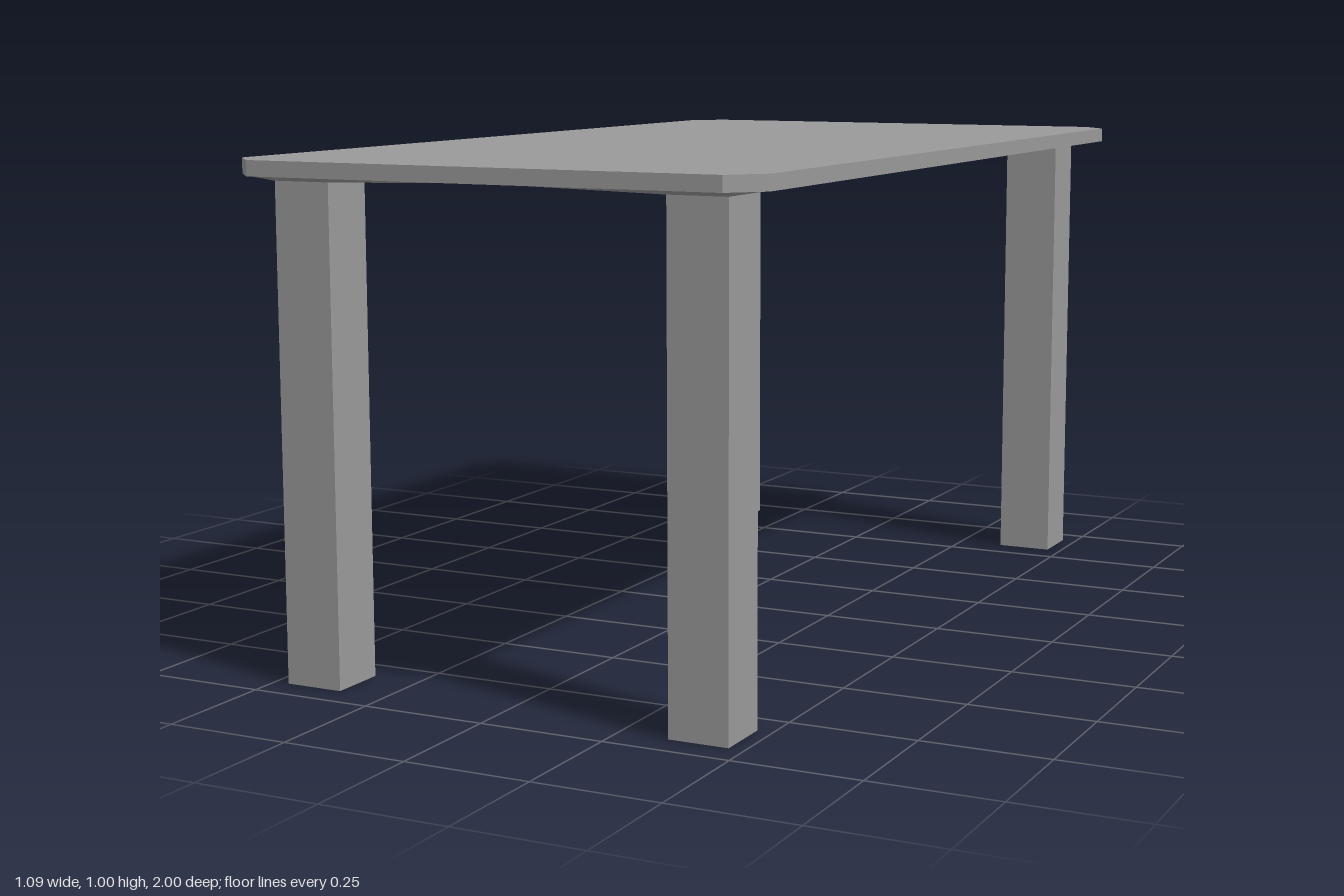
import * as THREE from 'three';

const LEG = { x0: 0.35, x1: 0.469, z0: 0.82, z1: 0.938, top: 0.964 };
const RIM = 0.975, TOP = 1.005;

const material = new THREE.MeshStandardMaterial({ color: 0x999999, flatShading: true });

function addPart(group, name, geometry) {
  const mesh = new THREE.Mesh(geometry, material);
  mesh.name = name;
  group.add(mesh);
  return mesh;
}

// Rectangular slab with clipped corners
function tabletopGeometry() {
  const x = 0.545, z = 1, cx = 0.487, cz = 0.935;
  const outline = [[cx, -z], [x, -cz], [x, cz], [cx, z], [-cx, z], [-x, cz], [-x, -cz], [-cx, -z]];
  const shape = new THREE.Shape(outline.map(([a, b]) => new THREE.Vector2(a, b)));
  const geometry = new THREE.ExtrudeGeometry(shape, { depth: TOP - RIM, bevelEnabled: false });
  return geometry.rotateX(-Math.PI / 2).translate(0, RIM, 0);
}

// One quarter of the underside: four slopes dipping from the slab to the head of a leg
function undersideGeometry(sx, sz) {
  const ring = (x0, x1, z0, z1, y) =>
    [[x0, z0], [x1, z0], [x1, z1], [x0, z1]].map(([x, z]) => [x * sx, y, z * sz]);
  const outer = ring(0, 0.51, 0, 0.975, RIM);
  const inner = ring(LEG.x0, LEG.x1, LEG.z0, LEG.z1, LEG.top);
  const positions = [];
  for (let i = 0; i < 4; i++) {
    const j = (i + 1) % 4;
    const corners = [outer[i], outer[j], inner[j], outer[i], inner[j], inner[i]];
    if (sx * sz < 0) corners.reverse(); // keep mirrored quarters facing down
    positions.push(...corners.flat());
  }
  const geometry = new THREE.BufferGeometry();
  geometry.setAttribute('position', new THREE.Float32BufferAttribute(positions, 3));
  geometry.computeVertexNormals();
  return geometry;
}

export function createModel() {
  const table = new THREE.Group();
  table.name = 'table';

  addPart(table, 'tabletop', tabletopGeometry());

  // Legs and the sloped underside around each of them
  const legGeometry = new THREE.BoxGeometry(LEG.x1 - LEG.x0, LEG.top, LEG.z1 - LEG.z0);
  for (const [sz, end] of [[1, 'front'], [-1, 'back']]) {
    for (const [sx, side] of [[1, 'Left'], [-1, 'Right']]) {
      addPart(table, `${end}${side}Leg`, legGeometry)
        .position.set(sx * (LEG.x0 + LEG.x1) / 2, LEG.top / 2, sz * (LEG.z0 + LEG.z1) / 2);
      addPart(table, `${end}${side}Underside`, undersideGeometry(sx, sz));
    }
  }
  return table;
}
